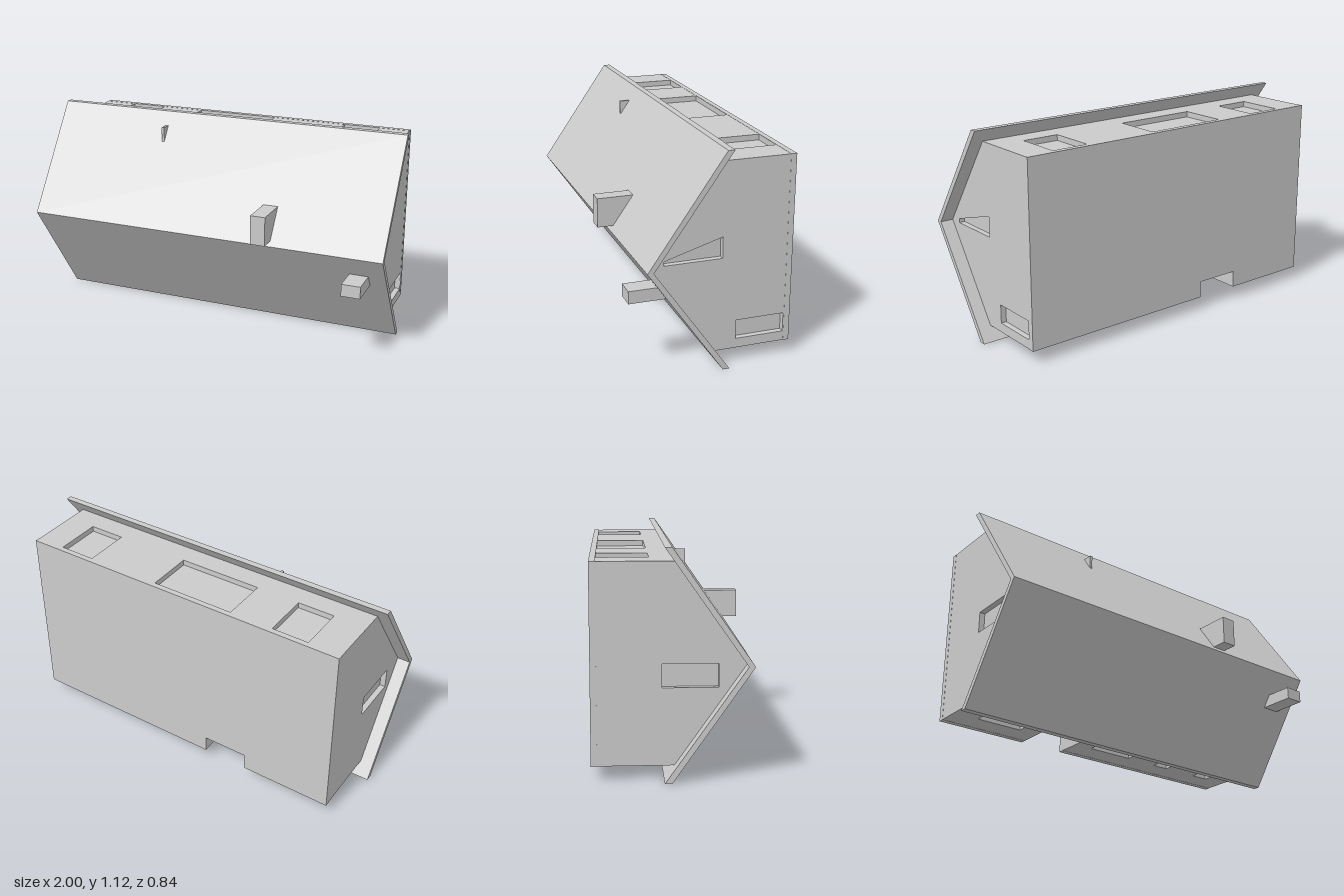
import * as THREE from 'three';

const material = new THREE.MeshStandardMaterial({ color: 0xcccccc, flatShading: true });
const T = 0.03; // wall thickness

function toShape(points) {
  return new THREE.Shape(points.map(([u, v]) => new THREE.Vector2(u, v)));
}

const rect = (u0, u1, v0, v1) => [[u0, v0], [u1, v0], [u1, v1], [u0, v1]];

function extrude(points, depth, holes = []) {
  const shape = toShape(points);
  for (const h of holes) {
    shape.holes.push(new THREE.Path(rect(...h).reverse().map(([u, v]) => new THREE.Vector2(u, v))));
  }
  return new THREE.ExtrudeGeometry(shape, { depth, bevelEnabled: false });
}

function mesh(name, geometry) {
  const m = new THREE.Mesh(geometry, material);
  m.name = name;
  return m;
}

function box(name, x0, x1, y0, y1, z0, z1) {
  const m = mesh(name, new THREE.BoxGeometry(x1 - x0, y1 - y0, z1 - z0));
  m.position.set((x0 + x1) / 2, (y0 + y1) / 2, (z0 + z1) / 2);
  return m;
}

// A wall whose outer face is local +z, with a sunken pane behind every opening
function wall(name, outline, openings = []) {
  const group = new THREE.Group();
  group.name = name;
  group.add(mesh(name + 'Panel', extrude(outline, T, openings)));
  for (const [u0, u1, v0, v1] of openings) {
    group.add(box(name + 'Pane', u0 - 0.005, u1 + 0.005, v0 - 0.005, v1 + 0.005, -0.01, 0));
  }
  return group;
}

export function createModel() {
  const model = new THREE.Group();
  model.name = 'house';

  // Folded roof: two sloping slabs meeting at a ridge that faces forward
  const roof = mesh('roof', extrude(
    [[0.035, 0], [0.07, 0], [-0.323, 0.56], [0.07, 1.12], [0.035, 1.12], [-0.355, 0.56]].reverse(), 2));
  roof.rotation.y = Math.PI / 2;
  roof.position.x = -1;
  model.add(roof);

  // Gabled end walls
  const gable = [[-0.41, 0.07], [-0.021, 0.07], [0.323, 0.56], [-0.021, 1.05], [-0.41, 1.05]];
  const leftEnd = wall('leftGable', gable.map(([z, y]) => [-z, y]).reverse(),
    [[-0.25, 0.05, 0.56, 0.67], [0.13, 0.385, 0.12, 0.22]]);
  leftEnd.rotation.y = Math.PI / 2;
  leftEnd.position.x = 0.93 - T;
  const rightEnd = wall('rightGable', gable, [[-0.08, 0.19, 0.45, 0.565]]);
  rightEnd.rotation.y = -Math.PI / 2;
  rightEnd.position.x = -0.93 + T;
  model.add(leftEnd, rightEnd);

  // Upper long wall with three windows
  const upper = wall('upperWall', rect(-0.905, 0.905, 0.018, 0.41), [
    [-0.75, -0.55, 0.135, 0.389], [-0.31, 0.15, 0.135, 0.389], [0.565, 0.765, 0.135, 0.389]]);
  upper.rotation.x = -Math.PI / 2;
  upper.position.y = 1.05 - T;
  model.add(upper);

  // Lower long wall with four windows and a cut-out for the porch
  const px0 = -0.425, px1 = -0.175, pz = -0.08, py = 0.16;
  const lower = wall('lowerWall', [
    [-0.905, -0.41], [px0, -0.41], [px0, pz], [px1, pz], [px1, -0.41],
    [0.905, -0.41], [0.905, -0.018], [-0.905, -0.018]], [
    [0.69, 0.79, -0.27, -0.135], [0.385, 0.48, -0.27, -0.135],
    [-0.07, 0.195, -0.265, -0.135], [-0.79, -0.535, -0.27, -0.135]]);
  lower.rotation.x = Math.PI / 2;
  lower.position.y = 0.07 + T;
  model.add(lower);

  // Recessed porch with a sunken door
  const porch = wall('porchInnerWall', rect(px0, px1, -0.41, pz), [[-0.385, -0.275, -0.36, -0.135]]);
  porch.rotation.x = Math.PI / 2;
  porch.position.y = py + T;
  model.add(porch);
  model.add(box('porchSide', px0 - 0.02, px0, 0.08, py + T, -0.41, pz));
  model.add(box('porchSide', px1, px1 + 0.02, 0.08, py + T, -0.41, pz));
  model.add(box('porchCeiling', px0 - 0.02, px1 + 0.02, 0.08, py + T, pz, pz + 0.02));

  // Floor slab closing the back, notched for the porch
  const floor = wall('floorSlab', [
    [-0.931, 0.069], [-px1, 0.069], [-px1, py], [-px0, py], [-px0, 0.069],
    [0.931, 0.069], [0.931, 1.051], [-0.931, 1.051]]);
  floor.rotation.y = Math.PI;
  floor.position.z = -0.42 + T;
  model.add(floor);

  // Chimneys and a thin vent through the roof
  model.add(box('tallChimney', 0.32, 0.4, 0.585, 0.74, 0.18, 0.42));
  model.add(box('smallChimney', 0.81, 0.91, 0.38, 0.445, 0.2, 0.42));
  model.add(box('roofVent', -0.345, -0.33, 0.97, 1.05, 0, 0.068));

  return model;
}
